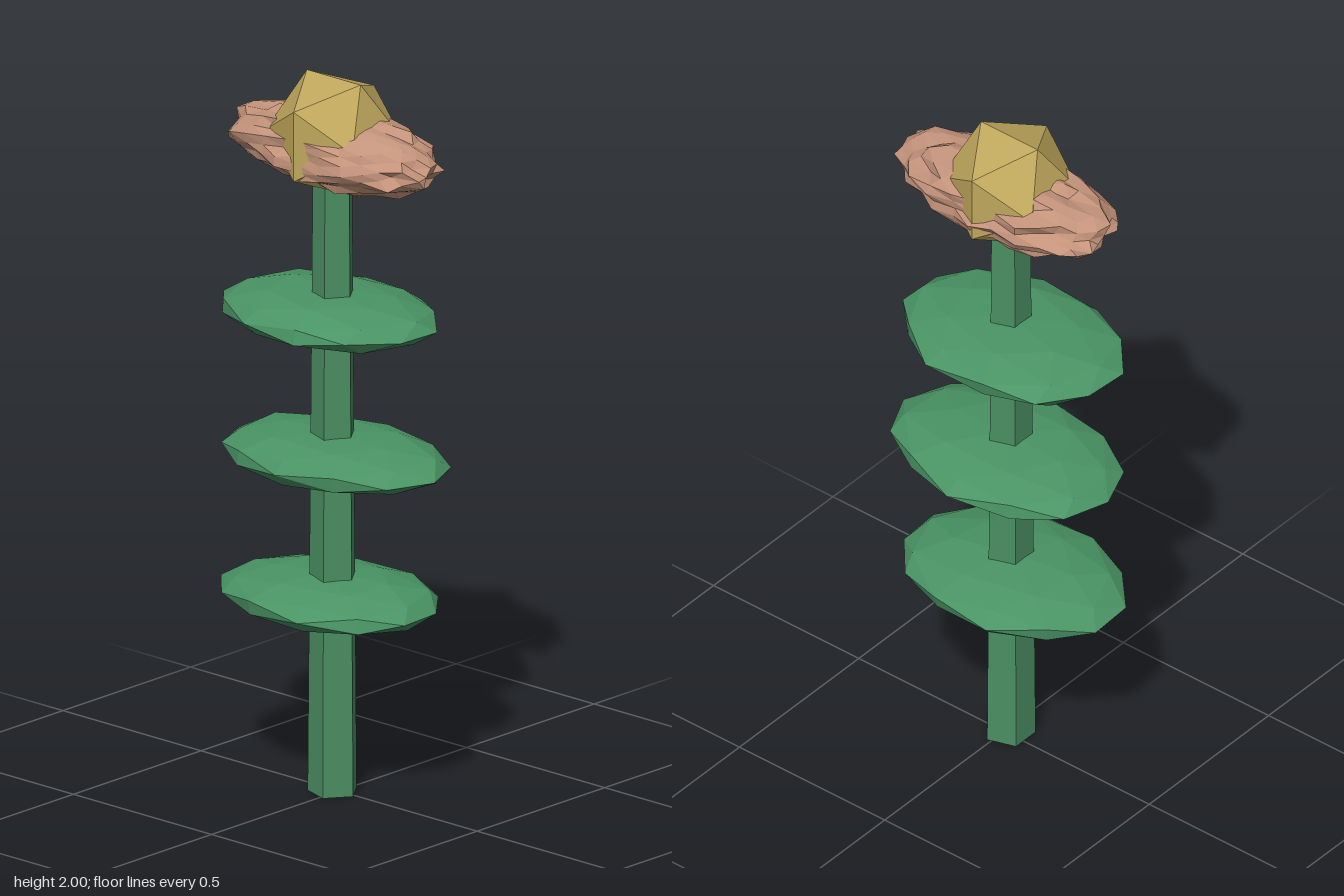
import * as THREE from 'three';
import { mergeVertices } from 'three/addons/utils/BufferGeometryUtils.js';

const CX = -0.01, CZ = 0.01; // axis of the stem

const mat = (color) => new THREE.MeshStandardMaterial({ color, flatShading: true });

function add(parent, name, geometry, material, x, y, z) {
  const mesh = new THREE.Mesh(geometry, material);
  mesh.name = name;
  mesh.position.set(x, y, z);
  parent.add(mesh);
  return mesh;
}

// small seeded generator
function seeded(seed) {
  let s = seed;
  return () => (s = (s * 16807) % 2147483647) / 2147483647;
}

// faceted ellipsoid whose shared vertices move in or out at random
function roughEllipsoid(rx, ry, rz, detail, turn, low, high, seed) {
  let geo = new THREE.IcosahedronGeometry(1, detail).rotateY(turn);
  geo.deleteAttribute('normal');
  geo.deleteAttribute('uv');
  geo = mergeVertices(geo, 1e-3);
  const rand = seeded(seed);
  const pos = geo.attributes.position;
  for (let i = 0; i < pos.count; i++) {
    const k = low + (high - low) * rand();
    pos.setXYZ(i, pos.getX(i) * rx * k, pos.getY(i) * ry * k, pos.getZ(i) * rz * k);
  }
  geo = geo.toNonIndexed();
  geo.computeVertexNormals();
  return geo;
}

export function createModel() {
  const group = new THREE.Group();
  group.name = 'flower';
  const green = mat(0x4b8f63);
  const leafGreen = mat(0x4a9465);

  // five-sided tapering stem, one corner towards +x
  const stem = new THREE.CylinderGeometry(0.056, 0.07, 1.76, 5).rotateY(Math.PI / 2);
  add(group, 'stem', stem, green, CX, 0.88, CZ);

  // three flat leaf discs: height, centre x, half length, turn
  [
    [0.545, -0.03, 0.345, 0.3],
    [0.942, -0.008, 0.355, 0],
    [1.338, -0.03, 0.345, -0.3],
  ].forEach(([y, x, rx, turn], i) => {
    const geo = roughEllipsoid(rx, 0.066, 0.25, 1, turn, 0.96, 1.02, 911 + i * 77);
    add(group, 'leaf' + (i + 1), geo, leafGreen, x, y, 0.003);
  });

  // spiky ring of petals
  const petals = roughEllipsoid(0.355, 0.103, 0.165, 4, 0, 0.86, 1.07, 4242);
  add(group, 'petals', petals, mat(0xc4937b), 0, 1.803, CZ);

  // faceted centre of the flower
  add(group, 'flowerCentre', new THREE.IcosahedronGeometry(0.185, 0), mat(0xbfa75c), CX, 1.843, CZ);

  return group;
}
